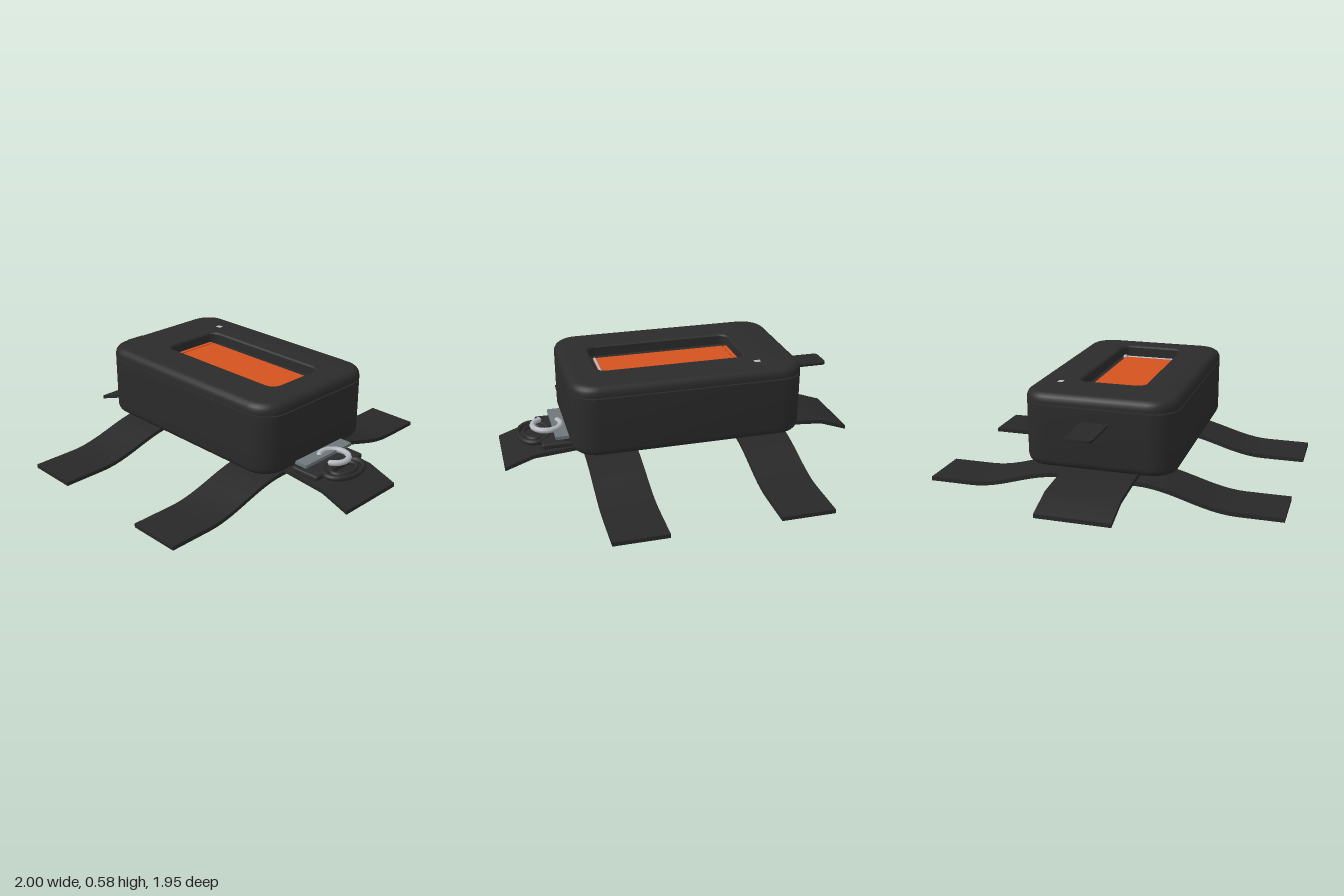
import * as THREE from 'three';
import { toCreasedNormals } from 'three/addons/utils/BufferGeometryUtils.js';
import { RoundedBoxGeometry } from 'three/addons/geometries/RoundedBoxGeometry.js';

const mat = (name, color) => new THREE.MeshStandardMaterial({ name, color });

// Rings of rounded rectangles [halfX, halfZ, cornerRadius, y, centreX], joined from first to last
function loftRings(rings, steps = 8) {
  const pos = [], index = [], count = 4 * (steps + 1);
  for (const [w, d, r, y, cx = 0] of rings) {
    for (let q = 0; q < 4; q++) {
      const sx = q === 0 || q === 3 ? 1 : -1, sz = q < 2 ? 1 : -1;
      for (let s = 0; s <= steps; s++) {
        const a = (q + s / steps) * Math.PI / 2;
        pos.push(cx + sx * (w - r) + r * Math.cos(a), y, sz * (d - r) + r * Math.sin(a));
      }
    }
  }
  for (let i = 0; i < rings.length - 1; i++) {
    for (let j = 0; j < count; j++) {
      const a = i * count + j, b = i * count + (j + 1) % count;
      index.push(a, a + count, b, b, a + count, b + count);
    }
  }
  const g = new THREE.BufferGeometry();
  g.setAttribute('position', new THREE.Float32BufferAttribute(pos, 3));
  g.setIndex(index);
  return toCreasedNormals(g, 0.6);
}

// Ribbon following a centre line [u, y], extruded to a width
function ribbon(points, width, thick) {
  const h = thick / 2;
  const outline = [
    ...points.map(([u, y]) => new THREE.Vector2(u, y - h)),
    ...points.map(([u, y]) => new THREE.Vector2(u, y + h)).reverse(),
  ];
  const g = new THREE.ExtrudeGeometry(new THREE.Shape(outline), { depth: width, bevelEnabled: false });
  g.translate(0, 0, -width / 2);
  return toCreasedNormals(g, 0.3);
}

export function createModel() {
  const group = new THREE.Group();
  const shell = mat('blackShell', 0x2b2b2b);
  const webbing = mat('blackWebbing', 0x282828);
  const orange = mat('orange', 0xd4521f);
  const grey = mat('greyMetal', 0x6e777a);
  const steel = mat('lightSteel', 0xb4b9be);
  const add = (name, geo, material, x = 0, y = 0, z = 0) => {
    const m = new THREE.Mesh(geo, material);
    m.name = name;
    m.position.set(x, y, z);
    group.add(m);
    return m;
  };
  const box = (w, h, d) => new THREE.BoxGeometry(w, h, d);

  // Case body with a rounded lower edge, and a rounded rim lid with a window
  const W = 0.643, D = 0.412, R = 0.14, B = 0.045;
  const edge = (t) => B * (1 - Math.cos(t));
  const body = [[0, 0, 0, 0.178]], lid = [[W, D, R, 0.521]];
  for (let i = 0; i <= 5; i++) {
    const t = (1 - i / 5) * Math.PI / 2, e = edge(t);
    body.push([W - e, D - e, R - e, 0.178 + B * (1 - Math.sin(t))]);
  }
  body.push([W, D, R, 0.515], [0, 0, 0, 0.515]);
  for (let i = 0; i <= 5; i++) {
    const t = (i / 5) * Math.PI / 2, e = edge(t);
    lid.push([W - e, D - e, R - e, 0.58 - B * (1 - Math.sin(t))]);
  }
  lid.push(
    [0.425, 0.19, 0.06, 0.58, 0.055], [0.415, 0.18, 0.05, 0.572, 0.055],
    [0.415, 0.18, 0.05, 0.521, 0.055], [W, D, R, 0.521],
  );
  add('caseBody', loftRings(body), shell);
  add('caseLid', loftRings(lid), shell);

  // Packed contents seen through the window
  add('orangePack', box(0.77, 0.012, 0.3), orange, 0.055, 0.517, -0.005);
  add('orangeFlap', box(0.022, 0.012, 0.3), orange, -0.348, 0.517, -0.005);
  const rod = new THREE.CylinderGeometry(0.008, 0.008, 0.3, 12).rotateX(Math.PI / 2);
  add('windowRod', rod, steel, 0.432, 0.52, -0.01);
  add('rodEnd', new THREE.SphereGeometry(0.014, 12, 8), steel, 0.424, 0.522, -0.158);
  add('lidMarker', box(0.035, 0.002, 0.028), steel, -0.4, 0.58, -0.27);

  // Pull tab on the right end
  const tab = new THREE.Shape();
  tab.moveTo(0.3, -0.073);
  tab.lineTo(0.3, 0.073);
  tab.lineTo(0.03, 0.073);
  tab.quadraticCurveTo(0, 0.073, 0, 0.043);
  tab.lineTo(0, -0.043);
  tab.quadraticCurveTo(0, -0.073, 0.03, -0.073);
  const tabGeo = new THREE.ExtrudeGeometry(tab, { depth: 0.015, bevelEnabled: false }).rotateX(-Math.PI / 2);
  add('pullTab', tabGeo, webbing, -0.905, 0.43, -0.003);

  // Long strap with drooping ends
  const longLine = [[-1, 0.066], [-0.84, 0.122], [-0.6, 0.141], [0.6, 0.141], [0.84, 0.122], [1, 0.066]];
  add('longStrap', ribbon(longLine, 0.4, 0.022), webbing);

  // Cross straps in an S curve down to the ground, with pads beneath the case
  const crossLine = [];
  for (let i = 0; i <= 48; i++) {
    const u = -0.975 + 1.95 * i / 48;
    const t = THREE.MathUtils.clamp((0.74 - Math.abs(u)) / 0.54, 0, 1);
    crossLine.push([u, 0.0125 + 0.105 * (0.5 - 0.5 * Math.cos(t * Math.PI))]);
  }
  const crossGeo = ribbon(crossLine, 0.29, 0.022).rotateY(Math.PI / 2);
  for (const [strapX, padX] of [[-0.445, -0.41], [0.423, 0.4]]) {
    add('crossStrap', crossGeo, webbing, strapX, 0, -0.003);
    add('strapPad', new RoundedBoxGeometry(0.14, 0.045, 0.5, 2, 0.012), shell, padX, 0.163, 0);
  }

  // Buckle, ring and open hook on the left end
  add('bucklePlate', box(0.09, 0.018, 0.37), grey, 0.67, 0.208, 0);
  add('buckleBase', new RoundedBoxGeometry(0.17, 0.03, 0.38, 2, 0.01), shell, 0.705, 0.165, 0);
  add('buckleBlock', box(0.05, 0.03, 0.34), shell, 0.64, 0.188, 0);
  const flat = (r, tube, arc) => new THREE.TorusGeometry(r, tube, 10, 36, arc).rotateX(-Math.PI / 2);
  const ring = add('beltRing', flat(0.12, 0.016, Math.PI * 2), shell, 0.815, 0.17, 0);
  ring.scale.set(0.73, 1, 1.05);
  const innerRing = add('innerRing', flat(0.075, 0.013, Math.PI * 2), shell, 0.815, 0.172, 0);
  innerRing.scale.set(0.75, 1, 1.1);
  const hookArc = 4.8, hookStart = -1.1;
  const hook = add('hook', flat(0.078, 0.016, hookArc), steel, 0.743, 0.213, -0.005);
  hook.rotation.y = hookStart;
  for (const a of [hookStart, hookStart + hookArc]) {
    add('hookTip', new THREE.SphereGeometry(0.016, 10, 8), steel,
      0.743 + 0.078 * Math.cos(a), 0.213, -0.005 - 0.078 * Math.sin(a));
  }
  return group;
}
